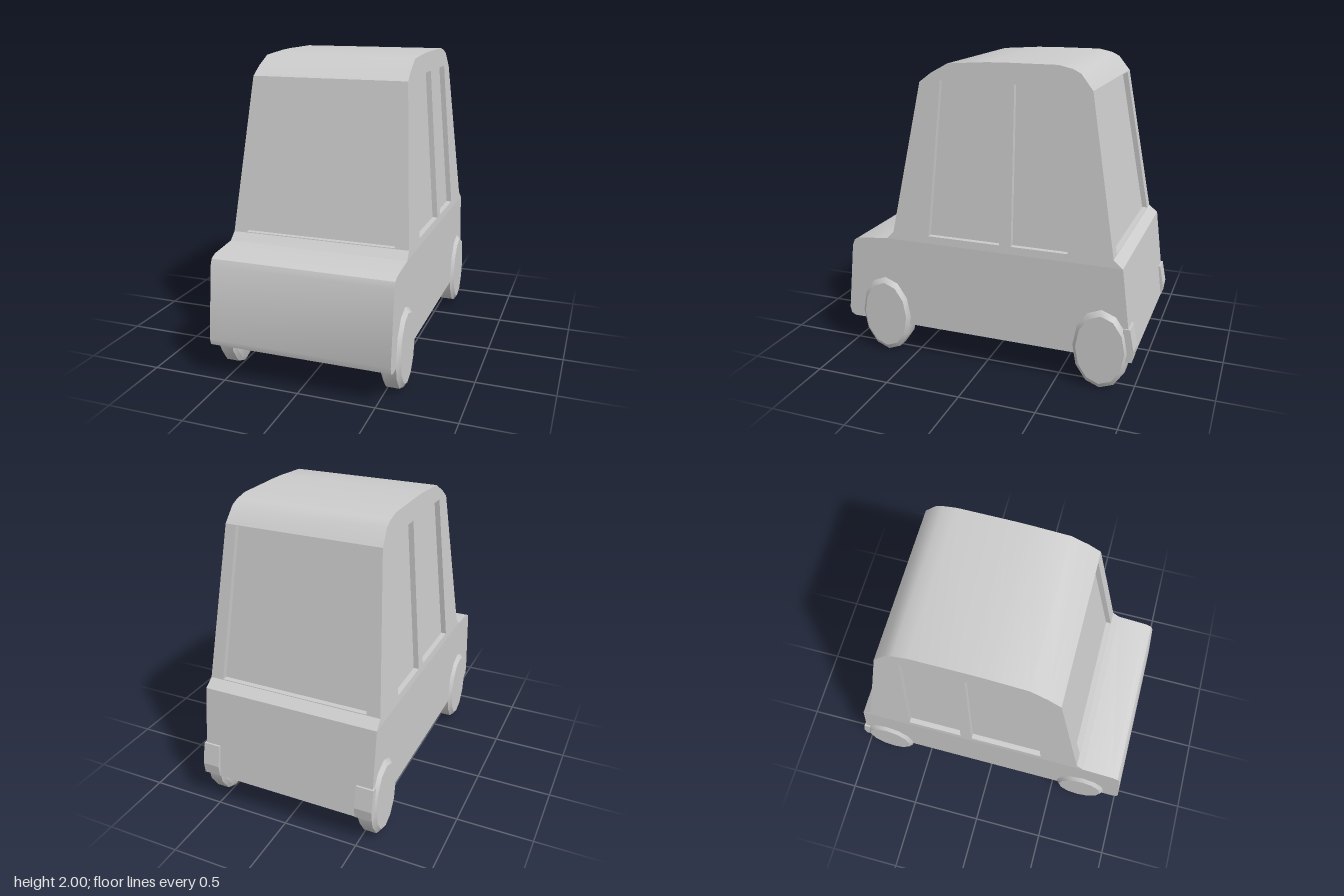
import * as THREE from 'three';
import { mergeGeometries, toCreasedNormals } from 'three/addons/utils/BufferGeometryUtils.js';

const material = new THREE.MeshStandardMaterial({ color: 0xcccccc });
const SILL = 0.82;      // height where the cabin starts to lean inwards
const RECESS = 0.035;   // depth of the window recesses

const halfWidth = (y) => 0.592 - Math.max(0, y - SILL) * 0.078;

// Side outline [z, y], from the front bottom over the roof to the rear bottom
const profile = [
  [0.96, 0.215], [0.99, 0.23], [1.0, 0.27], [0.947, 0.74], [0.93, 0.78], [0.89, 0.8],
  [0.68, SILL], [0.632, 0.87], [0.44, 1.86], [0.36, 1.92], [0.25, 1.98], [0, 1.997],
  [-0.1, 2.0], [-0.46, 2.0], [-0.55, 1.98], [-0.6, 1.955], [-0.675, 1.86],
  [-0.85, 0.87], [-0.91, SILL], [-0.987, 0.215],
];
const cowl = 6, windscreenFoot = 7, rearScreenTop = 16, boot = 18;

function geometryFrom(points) {
  const geometry = new THREE.BufferGeometry().setFromPoints(points);
  geometry.computeVertexNormals();
  return geometry;
}

const quad = (a, b, c, d) => [a, b, c, a, c, d];
const toVectors = (points) => points.map(([u, y]) => new THREE.Vector2(u, y));

// Flat outline with holes, moved into place by place(u, y, depth)
function panel(outline, holes, place, depth = 0) {
  const shape = new THREE.Shape(toVectors(outline));
  holes.forEach((h) => shape.holes.push(new THREE.Path(toVectors(h))));
  const p = new THREE.ShapeGeometry(shape).toNonIndexed().attributes.position;
  const points = [];
  for (let i = 0; i < p.count; i++) points.push(place(p.getX(i), p.getY(i), depth));
  return geometryFrom(points);
}

// Walls around a recessed window; corners run anticlockwise from outside
function recessWalls(hole, place) {
  return geometryFrom(hole.flatMap((a, i) => {
    const b = hole[(i + 1) % hole.length];
    return quad(place(...a, 0), place(...b, 0), place(...b, RECESS), place(...a, RECESS));
  }));
}

// Wheel or axle: turned about x and squeezed to an oval
function turned(points, sides) {
  const geometry = new THREE.LatheGeometry(toVectors(points), sides);
  geometry.rotateZ(-Math.PI / 2);
  geometry.scale(1, 0.27, 0.182);
  return toCreasedNormals(geometry, 0.6);
}

export function createModel() {
  const model = new THREE.Group();
  const add = (name, geometry, parent = model) => {
    const mesh = new THREE.Mesh(geometry, material);
    mesh.name = name;
    parent.add(mesh);
    return mesh;
  };

  // Bonnet, roof, boot and floor skin across the width
  const skin = [];
  profile.forEach(([z, y], i) => {
    if (i === windscreenFoot || i === rearScreenTop) return;
    const [z2, y2] = profile[(i + 1) % profile.length];
    const w = halfWidth(y), w2 = halfWidth(y2);
    skin.push(...quad(
      new THREE.Vector3(-w, y, z), new THREE.Vector3(w, y, z),
      new THREE.Vector3(w2, y2, z2), new THREE.Vector3(-w2, y2, z2)));
  });
  add('bodySkin', toCreasedNormals(geometryFrom(skin), 0.6));

  // Side walls with two windows each
  const upper = profile.slice(cowl, boot + 1);
  const lower = [...profile.slice(0, cowl + 1), ...profile.slice(boot)];
  const sideWindows = [
    [[0.375, 0.87], [-0.115, 0.87], [-0.13, 1.873], [0.3, 1.873]],
    [[-0.195, 0.87], [-0.563, 0.87], [-0.525, 1.873], [-0.19, 1.873]],
  ];
  for (const side of [1, -1]) {
    const label = side > 0 ? 'left' : 'right';
    const place = (u, y, d) => new THREE.Vector3(side * (halfWidth(y) - d), y, -side * u);
    // Turn [z, y] into panel coordinates, anticlockwise as seen from outside
    const flip = (pts) => {
      const out = pts.map(([z, y]) => [-side * z, y]);
      return side > 0 ? out : out.reverse();
    };
    const holes = sideWindows.map(flip);
    add(label + 'Side', mergeGeometries([
      panel(flip(lower), [], place),
      panel(flip(upper), holes, place),
      ...holes.map((h) => recessWalls(h, place)),
    ]));
    holes.forEach((h, i) =>
      add(label + (i ? 'RearWindow' : 'FrontWindow'), panel(h, [], place, RECESS)));
  }

  // Windscreen and rear screen in their sloping frames
  for (const [name, facing, foot, top] of [
    ['windscreen', 1, profile[windscreenFoot], profile[windscreenFoot + 1]],
    ['rearScreen', -1, profile[rearScreenTop + 1], profile[rearScreenTop]],
  ]) {
    const place = (u, y, d) => {
      const t = (y - foot[1]) / (top[1] - foot[1]);
      return new THREE.Vector3(facing * u, y, foot[0] + (top[0] - foot[0]) * t - facing * d);
    };
    const w0 = halfWidth(foot[1]), w1 = halfWidth(top[1]);
    const frame = [[-w0, foot[1]], [w0, foot[1]], [w1, top[1]], [-w1, top[1]]];
    const hole = [[-0.5, 0.875], [0.5, 0.875], [0.438, 1.855], [-0.438, 1.855]];
    add(name + 'Frame', mergeGeometries([panel(frame, [hole], place), recessWalls(hole, place)]));
    add(name, panel(hole, [], place, RECESS));
  }

  // Wheels and axles
  const wheel = turned([[0, -0.065], [0.88, -0.065], [1, -0.045], [1, 0.04], [0.86, 0.065], [0, 0.065]], 12);
  const axle = turned([[0.37, -0.5], [0.37, 0.5]], 12);
  for (const [name, z] of [['front', 0.708], ['rear', -0.79]]) {
    const group = new THREE.Group();
    group.name = name + 'Axle';
    group.position.set(0, 0.27, z);
    model.add(group);
    add(name + 'AxleBar', axle, group);
    for (const side of [1, -1]) {
      const mesh = add(name + (side > 0 ? 'LeftWheel' : 'RightWheel'), wheel, group);
      mesh.position.x = side * 0.55;
      if (side < 0) mesh.rotation.y = Math.PI;
    }
  }

  // Tail lights wrapped on the rear corners
  const lamp = new THREE.Shape(toVectors([
    [0.93, 0.215], [0.99, 0.215], [1.0, 0.29], [0.972, 0.435], [0.93, 0.435],
  ]));
  const lampGeometry = new THREE.ExtrudeGeometry(lamp, { depth: 0.115, bevelEnabled: false });
  lampGeometry.translate(0, 0, -0.0575).rotateY(Math.PI / 2);
  for (const side of [1, -1]) {
    add(side > 0 ? 'leftTailLight' : 'rightTailLight', lampGeometry).position.x = side * 0.545;
  }

  return model;
}
